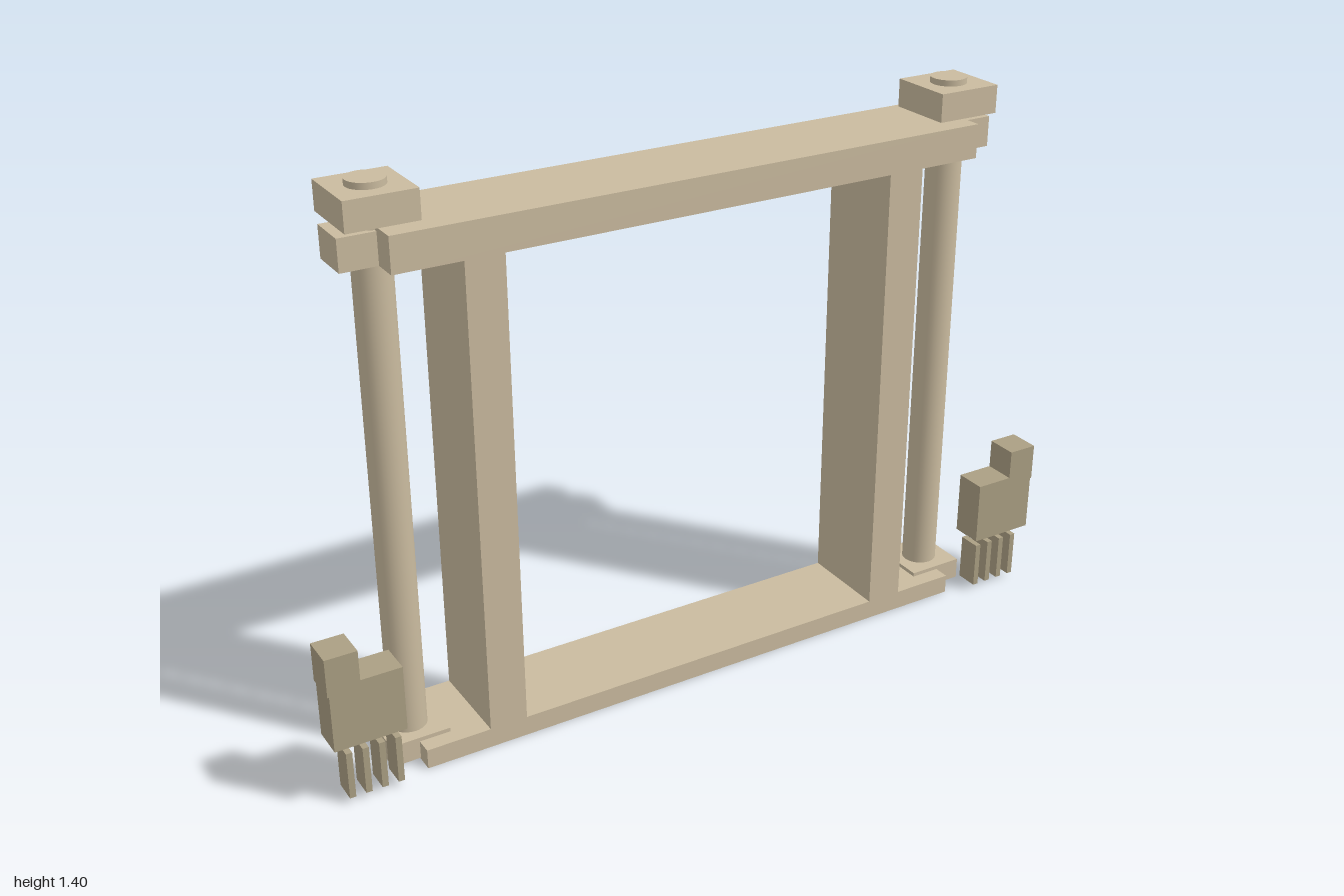
import * as THREE from 'three';

const tan = new THREE.MeshStandardMaterial({ color: 0xcabb9f });
const darkTan = new THREE.MeshStandardMaterial({ color: 0xab9f83 });

// Box given by its extents along each axis
function box(parent, name, [x0, x1], [y0, y1], [z0, z1], material = tan) {
  const mesh = new THREE.Mesh(new THREE.BoxGeometry(x1 - x0, y1 - y0, z1 - z0), material);
  mesh.position.set((x0 + x1) / 2, (y0 + y1) / 2, (z0 + z1) / 2);
  mesh.name = name;
  parent.add(mesh);
}

// Extents mirrored to the given side
const mirror = (side, a, b) => (side > 0 ? [a, b] : [-b, -a]);

export function createModel() {
  const model = new THREE.Group();
  model.name = 'pressFrame';

  // Rectangular frame
  const depth = [-0.14, 0.097];
  box(model, 'bottomBeam', [-0.763, 0.763], [0, 0.05], depth);
  box(model, 'topBeam', [-0.763, 0.763], [1.227, 1.312], depth);

  for (const side of [1, -1]) {
    const label = side > 0 ? 'left' : 'right';
    const x = (a, b) => mirror(side, a, b);

    box(model, label + 'Upright', x(0.505, 0.6), [0.05, 1.227], depth);

    // Threaded post with its foot, bracket and nut
    const post = new THREE.Group();
    post.name = label + 'Post';
    model.add(post);
    const rod = new THREE.Mesh(new THREE.CylinderGeometry(0.045, 0.045, 1.395, 32), tan);
    rod.name = 'rod';
    rod.position.set(side * 0.759, 0.7075, -0.02);
    post.add(rod);
    box(post, 'foot', x(0.685, 0.834), [0.004, 0.06], [-0.095, 0.055]);
    box(post, 'bracket', x(0.667, 0.851), [1.227, 1.303], [-0.071, 0.033]);
    box(post, 'nut', x(0.675, 0.843), [1.32, 1.39], [-0.105, 0.064]);

    // Hand: palm, wrist and four fingers
    const hand = new THREE.Group();
    hand.name = label + 'Hand';
    model.add(hand);
    box(hand, 'palm', x(0.822, 0.996), [0.16, 0.325], [0.058, 0.14], darkTan);
    box(hand, 'wrist', x(0.922, 1), [0.305, 0.401], [0.058, 0.14], darkTan);
    for (let i = 0; i < 4; i++) {
      const start = 0.834 + i * 0.0395;
      box(hand, 'finger', x(start, start + 0.015), [0.016, 0.137], [0.07, 0.129], darkTan);
    }
  }
  return model;
}
